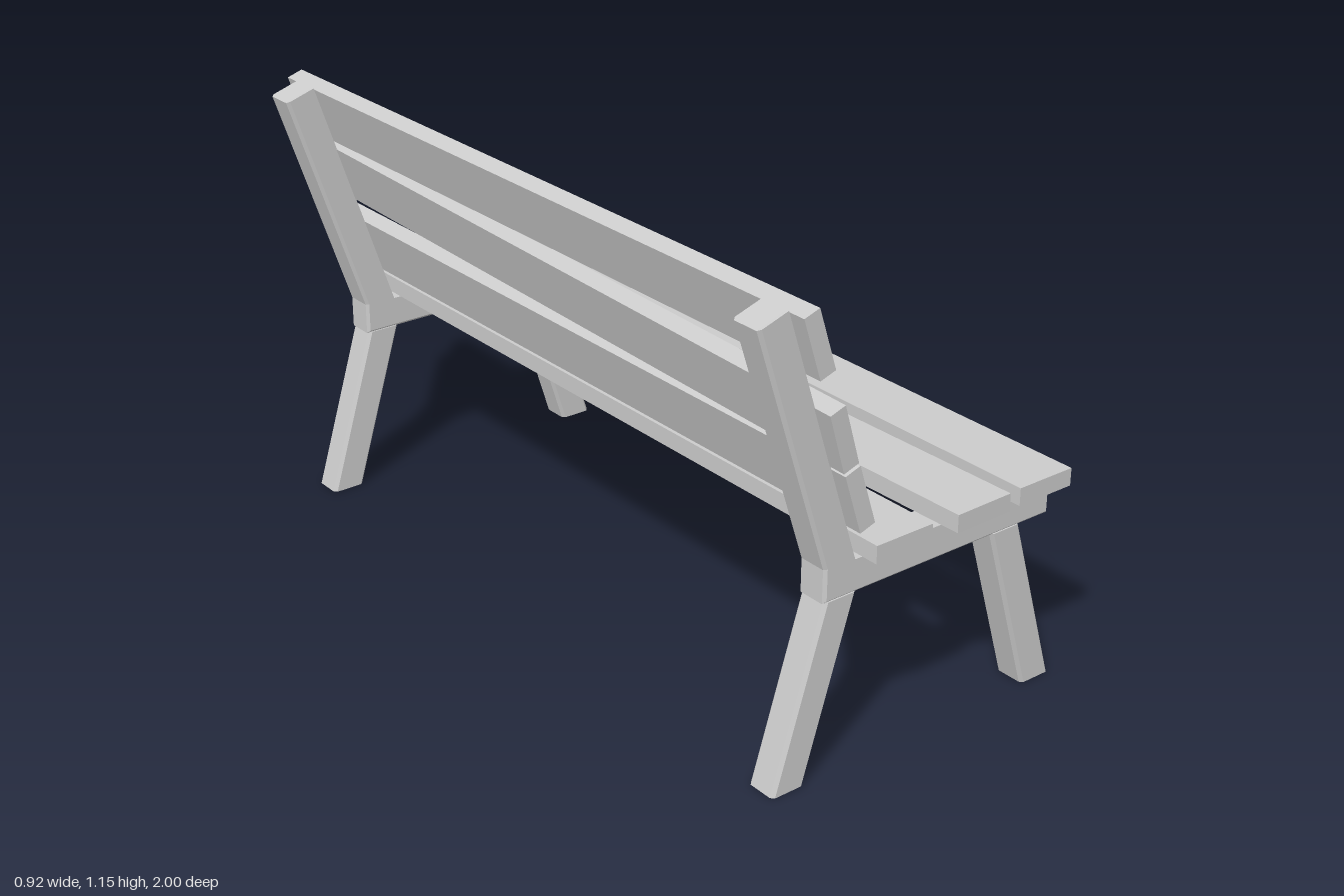
import * as THREE from 'three';

const material = new THREE.MeshStandardMaterial({ color: 0xcccccc, flatShading: true });

// Timber cut from an xy outline: full outline in the middle, chamfered outline on both z faces
function chamferedTimber(name, outer, inner, half, bevel) {
  const n = outer.length;
  const rings = [[inner, half], [outer, half - bevel], [outer, bevel - half], [inner, -half]];
  const position = rings.flatMap(([pts, z]) => pts.flatMap(([x, y]) => [x, y, z]));
  const index = [];
  for (let r = 0; r < 3; r++) {
    for (let i = 0; i < n; i++) {
      const j = (i + 1) % n;
      const a = r * n + i, b = r * n + j, c = a + n, d = b + n;
      index.push(a, c, b, b, c, d);
    }
  }
  const caps = THREE.ShapeUtils.triangulateShape(inner.map(p => new THREE.Vector2(...p)), []);
  for (const [a, b, c] of caps) index.push(a, b, c, 3 * n + a, 3 * n + c, 3 * n + b);
  const indexed = new THREE.BufferGeometry();
  indexed.setAttribute('position', new THREE.Float32BufferAttribute(position, 3));
  indexed.setIndex(index);
  const geometry = indexed.toNonIndexed();
  geometry.computeVertexNormals();
  const mesh = new THREE.Mesh(geometry, material);
  mesh.name = name;
  return mesh;
}

// Splayed leg, chamfered along its four long edges
function leg(name, footX, topX) {
  const w = 0.045, c = 0.008, h = 0.437;
  const outline = s => [[footX - s, 0], [footX + s, 0], [topX + s, h], [topX - s, h]];
  return chamferedTimber(name, outline(w), outline(w - c), 0.04, c);
}

// Seat rail and leaning back post in one piece, with its two legs
function endFrame(name, z) {
  const outer = [[-0.265, 0.435], [0.415, 0.435], [0.415, 0.517], [-0.18, 0.517],
    [-0.386, 1.14], [-0.463, 1.115], [-0.265, 0.517]];
  const inner = [[-0.258, 0.442], [0.408, 0.442], [0.408, 0.517], [-0.18, 0.517],
    [-0.386, 1.14], [-0.455, 1.118], [-0.258, 0.519]];
  const frame = new THREE.Group();
  frame.name = name;
  frame.add(
    chamferedTimber('railAndPost', outer, inner, 0.041, 0.007),
    leg('backLeg', -0.35, -0.215),
    leg('frontLeg', 0.415, 0.28));
  frame.position.z = z;
  return frame;
}

function slat(name, width, height, x, y, z) {
  const mesh = new THREE.Mesh(new THREE.BoxGeometry(width, height, 1.993), material);
  mesh.name = name;
  mesh.position.set(x, y, z);
  return mesh;
}

export function createModel() {
  const bench = new THREE.Group();
  bench.name = 'bench';
  bench.add(endFrame('leftEndFrame', 0.909), endFrame('rightEndFrame', -0.909));

  // Seat slats, the middle one slightly skewed
  [['backSeatSlat', -0.079, 0], ['middleSeatSlat', 0.136, 0.018], ['frontSeatSlat', 0.351, 0]]
    .forEach(([name, x, skew]) => {
      const s = slat(name, 0.162, 0.044, x, 0.539, skew ? 0.002 : -0.003);
      s.rotation.y = skew;
      bench.add(s);
    });

  // Backrest slats lying on the leaning posts, the middle one hanging crooked
  [['lowerBackSlat', -0.214, 0.687, 0], ['middleBackSlat', -0.277, 0.873, 0.034], ['upperBackSlat', -0.34, 1.07, 0]]
    .forEach(([name, x, y, tilt]) => {
      const s = slat(name, 0.043, 0.154, x, y, tilt ? 0 : -0.003);
      s.rotation.set(tilt, 0, 0.318, 'ZYX');
      bench.add(s);
    });
  return bench;
}
